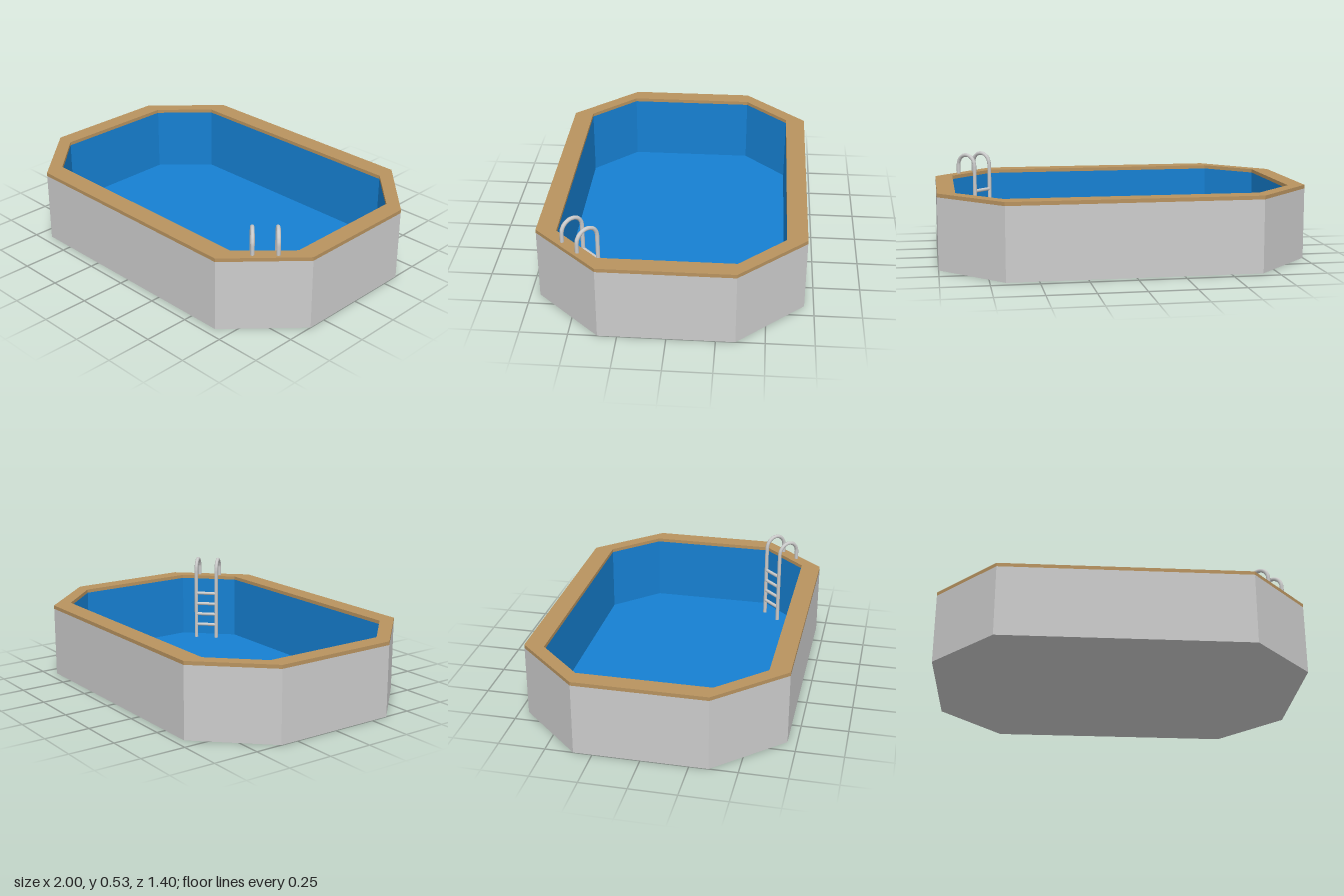
import * as THREE from 'three';

const grey = new THREE.MeshStandardMaterial({ color: 0xcccccc });
const blue = new THREE.MeshStandardMaterial({ color: 0x1680d2 });
const wood = new THREE.MeshStandardMaterial({ color: 0xb8935f });

// Stretched octagon: half sizes on x and z, with shared chamfer start points
const octagon = (hx, hz, Type = THREE.Shape) => {
  const cx = 0.67, cz = 0.35;
  return new Type([
    [cx, -hz], [hx, -cz], [hx, cz], [cx, hz],
    [-cx, hz], [-hx, cz], [-hx, -cz], [-cx, -hz],
  ].map(([x, z]) => new THREE.Vector2(x, z)));
};

// Slab or ring between two heights
function slab(name, outer, inner, y0, y1, material) {
  const shape = octagon(...outer);
  if (inner) shape.holes.push(octagon(...inner, THREE.Path));
  const geo = new THREE.ExtrudeGeometry(shape, { depth: y1 - y0, bevelEnabled: false });
  geo.rotateX(-Math.PI / 2).translate(0, y0, 0);
  const mesh = new THREE.Mesh(geo, material);
  mesh.name = name;
  return mesh;
}

// Ladder in local space: +z points out of the pool, x runs along the rungs
function buildLadder(floorY, rimY) {
  const ladder = new THREE.Group();
  ladder.name = 'ladder';
  const r = 0.064, half = 0.064, springY = 0.46, tube = 0.011;

  // Each rail rises from the floor, arches over the rim and lands on it
  const path = new THREE.CurvePath();
  const arch = [];
  for (let i = 0; i <= 10; i++) {
    const a = Math.PI * (1 - i / 10);
    arch.push(new THREE.Vector3(0, springY + r * Math.sin(a), r * Math.cos(a)));
  }
  const points = [new THREE.Vector3(0, floorY, -r), ...arch, new THREE.Vector3(0, rimY - 0.005, r)];
  for (let i = 1; i < points.length; i++) path.add(new THREE.LineCurve3(points[i - 1], points[i]));
  const railGeo = new THREE.TubeGeometry(path, 64, tube, 8);

  for (const side of [-1, 1]) {
    const rail = new THREE.Mesh(railGeo, grey);
    rail.name = side < 0 ? 'railA' : 'railB';
    rail.position.x = side * half;
    ladder.add(rail);
  }

  // Rungs between the inner legs
  const rungGeo = new THREE.CylinderGeometry(0.01, 0.01, half * 2, 8).rotateZ(Math.PI / 2);
  for (let i = 0; i < 4; i++) {
    const rung = new THREE.Mesh(rungGeo, grey);
    rung.name = 'rung' + (i + 1);
    rung.position.set(0, 0.11 + i * 0.068, -r);
    ladder.add(rung);
  }
  return ladder;
}

export function createModel() {
  const pool = new THREE.Group();
  pool.name = 'swimmingPool';
  const outer = [1, 0.7], liner = [0.912, 0.6], inner = [0.904, 0.592];
  const floorY = 0.025, rimBase = 0.39, rimY = 0.41;

  pool.add(
    slab('base', outer, null, 0, 0.015, grey),
    slab('outerWall', outer, liner, 0.015, rimBase, grey),
    slab('poolFloor', liner, null, 0.015, floorY, blue),
    slab('liner', liner, inner, floorY, rimBase, blue),
    slab('woodenRim', outer, inner, rimBase, rimY, wood),
  );

  // Ladder sits across the front left chamfered corner
  const ladder = buildLadder(floorY, rimY);
  ladder.position.set(0.773, 0, 0.454);
  ladder.rotation.y = Math.PI / 4;
  pool.add(ladder);
  return pool;
}
